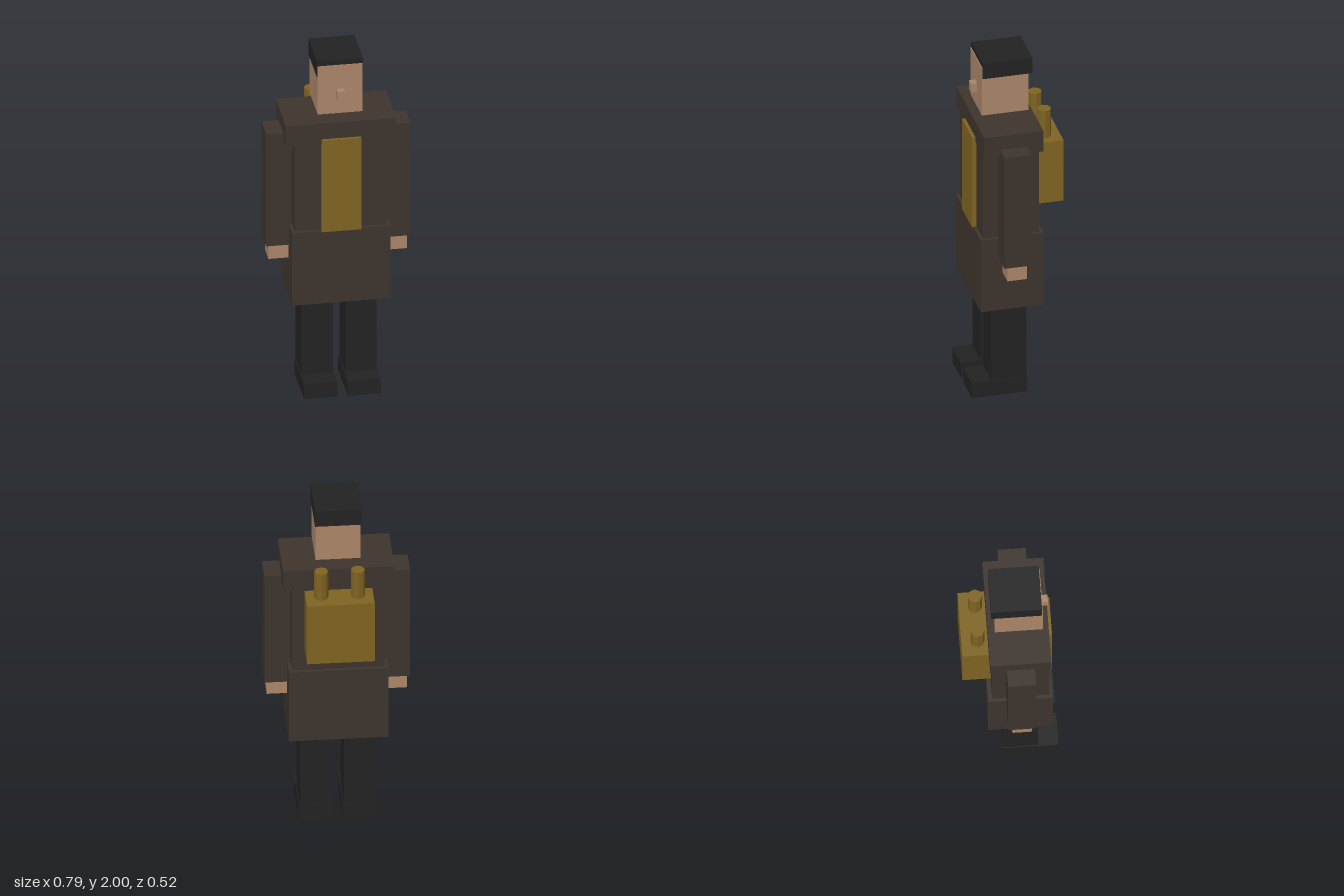
import * as THREE from 'three';

const material = (name, color) => {
  const m = new THREE.MeshStandardMaterial({ color });
  m.name = name;
  return m;
};

export function createModel() {
  const coat = material('coatBrown', 0x3d342d);
  const black = material('black', 0x222222);
  const skin = material('skin', 0xab8568);
  const brass = material('brass', 0x7f6321);

  const model = new THREE.Group();
  model.name = 'figure';

  // Box given by its extents along each axis
  const box = (name, mat, [x0, x1], [y0, y1], [z0, z1]) => {
    const mesh = new THREE.Mesh(new THREE.BoxGeometry(x1 - x0, y1 - y0, z1 - z0), mat);
    mesh.position.set((x0 + x1) / 2, (y0 + y1) / 2, (z0 + z1) / 2);
    mesh.name = name;
    model.add(mesh);
  };
  // Box centred on x = 0
  const centred = (name, mat, half, y, z) => box(name, mat, [-half, half], y, z);

  // Head
  centred('head', skin, 0.122, [1.68, 1.97], [-0.08, 0.179]);
  centred('nose', skin, 0.021, [1.772, 1.826], [0.17, 0.214]);
  centred('cap', black, 0.126, [1.905, 2.0], [-0.1, 0.175]);

  // Coat
  centred('shoulders', coat, 0.301, [1.515, 1.64], [-0.117, 0.212]);
  centred('torso', coat, 0.25, [0.99, 1.52], [-0.104, 0.205]);
  centred('coatSkirt', coat, 0.269, [0.555, 0.995], [-0.127, 0.223]);
  centred('chestPanel', brass, 0.108, [0.99, 1.545], [0.2, 0.23]);

  // Backpack
  centred('backpack', brass, 0.183, [1.13, 1.5], [-0.26, -0.1]);

  for (const [side, s] of [['left', 1], ['right', -1]]) {
    const span = (a, b) => (s > 0 ? [a, b] : [-b, -a]);

    // Arms and hands
    box(side + 'Arm', coat, span(0.255, 0.394), [0.875, 1.556], [-0.028, 0.124]);
    box(side + 'Hand', skin, span(0.265, 0.379), [0.787, 0.9], [-0.004, 0.103]);

    // Legs and shoes
    box(side + 'Leg', black, span(0.034, 0.204), [0.05, 0.57], [-0.047, 0.147]);
    box(side + 'Shoe', black, span(0.028, 0.21), [0, 0.09], [-0.05, 0.258]);

    // Backpack pipes
    const pipeShape = new THREE.CylinderGeometry(0.038, 0.038, 0.18, 8).toNonIndexed();
    pipeShape.computeVertexNormals();
    const pipe = new THREE.Mesh(pipeShape, brass);
    pipe.position.set(s * 0.099, 1.576, -0.172);
    pipe.name = side + 'Pipe';
    model.add(pipe);
  }

  return model;
}
